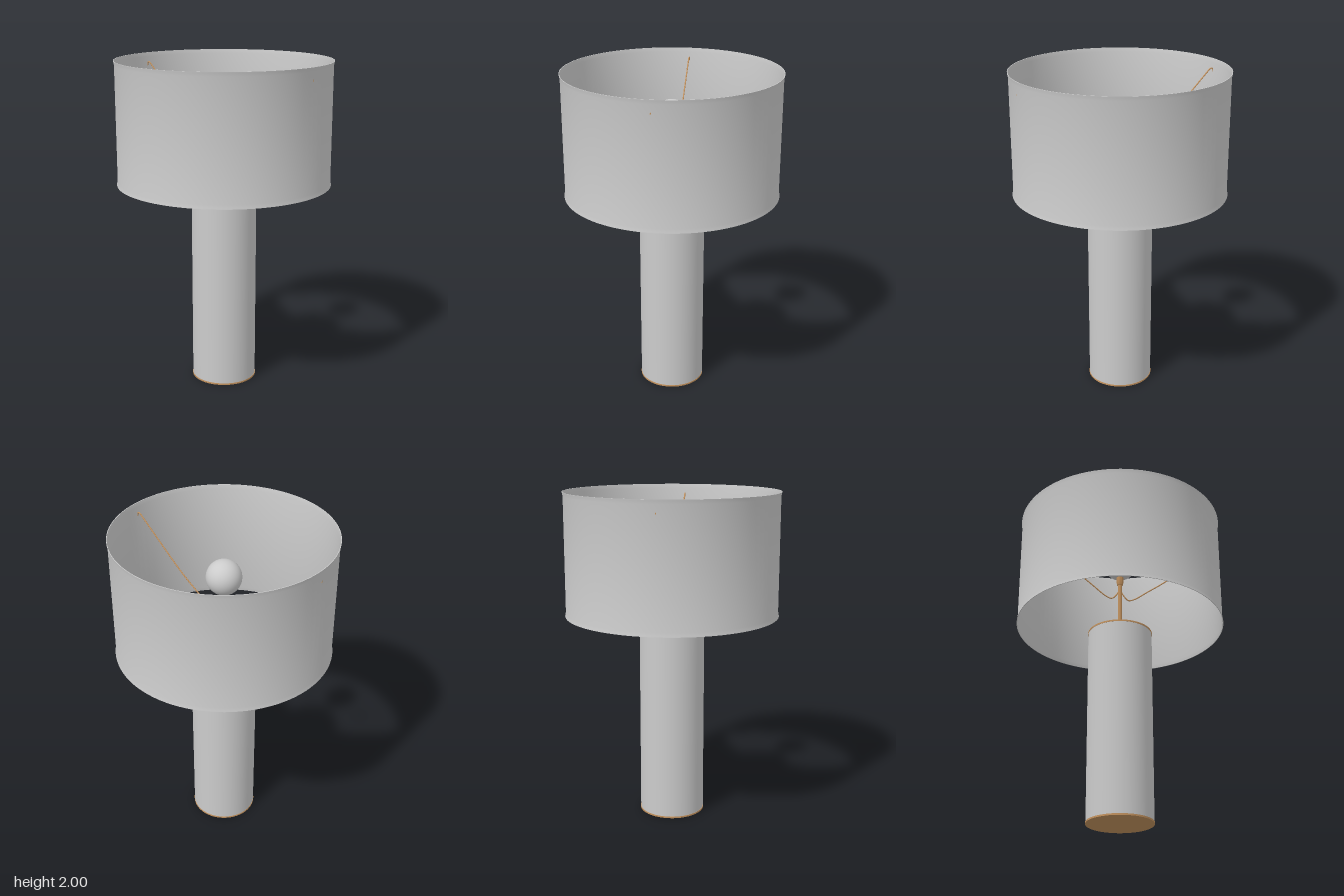
import * as THREE from 'three';
import { toCreasedNormals } from 'three/addons/utils/BufferGeometryUtils.js';

const grey = new THREE.MeshStandardMaterial({ color: 0xcccccc });
const brass = new THREE.MeshStandardMaterial({ color: 0xc4935f });

export function createModel() {
  const lamp = new THREE.Group();
  lamp.name = 'tableLamp';

  const add = (name, geometry, material) => {
    const mesh = new THREE.Mesh(geometry, material);
    mesh.name = name;
    lamp.add(mesh);
    return mesh;
  };
  // Upright cylinder between two heights
  const post = (name, radius, y0, y1, material, sides = 64) => {
    const mesh = add(name, new THREE.CylinderGeometry(radius, radius, y1 - y0, sides), material);
    mesh.position.y = (y0 + y1) / 2;
  };
  const lathe = (name, points, material, sides) =>
    add(name, toCreasedNormals(new THREE.LatheGeometry(
      points.map(([r, y]) => new THREE.Vector2(r, y)), sides), 0.6), material);

  // Column with thin metal plates at both ends
  post('basePlate', 0.2, 0, 0.01, brass);
  post('column', 0.198, 0.01, 1.207, grey);
  post('topPlate', 0.2, 1.207, 1.217, brass);

  // Stem and lamp holder
  post('stemFlange', 0.057, 1.217, 1.233, brass, 32);
  post('stem', 0.013, 1.233, 1.59, brass, 24);
  lathe('socket', [[0, 1.57], [0.018, 1.57], [0.022, 1.59], [0.022, 1.64], [0, 1.64]], brass, 24);

  // Round bulb
  add('bulb', new THREE.SphereGeometry(0.105, 48, 32), grey).position.y = 1.727;

  // Drum shade: thin wall, slightly flared at both rims
  lathe('shade', [
    [0.644, 1.26], [0.648, 1.26], [0.647, 1.267], [0.643, 1.285],
    [0.643, 1.975], [0.647, 1.993], [0.648, 2], [0.644, 2],
    [0.643, 1.993], [0.639, 1.975], [0.639, 1.285], [0.643, 1.267], [0.644, 1.26],
  ], grey, 96);

  // Bent wire arms from the stem up to hooks on the shade
  const armPath = [
    [0.005, 1.53], [0.025, 1.495], [0.055, 1.467], [0.09, 1.477], [0.185, 1.548],
    [0.31, 1.645], [0.46, 1.785], [0.6, 1.92], [0.622, 1.94], [0.636, 1.942], [0.641, 1.92],
  ];
  for (const [name, side] of [['leftShadeArm', 1], ['rightShadeArm', -1]]) {
    const curve = new THREE.CatmullRomCurve3(
      armPath.map(([x, y]) => new THREE.Vector3(side * x, y, 0)));
    add(name, new THREE.TubeGeometry(curve, 80, 0.004, 8), brass);
  }
  return lamp;
}
